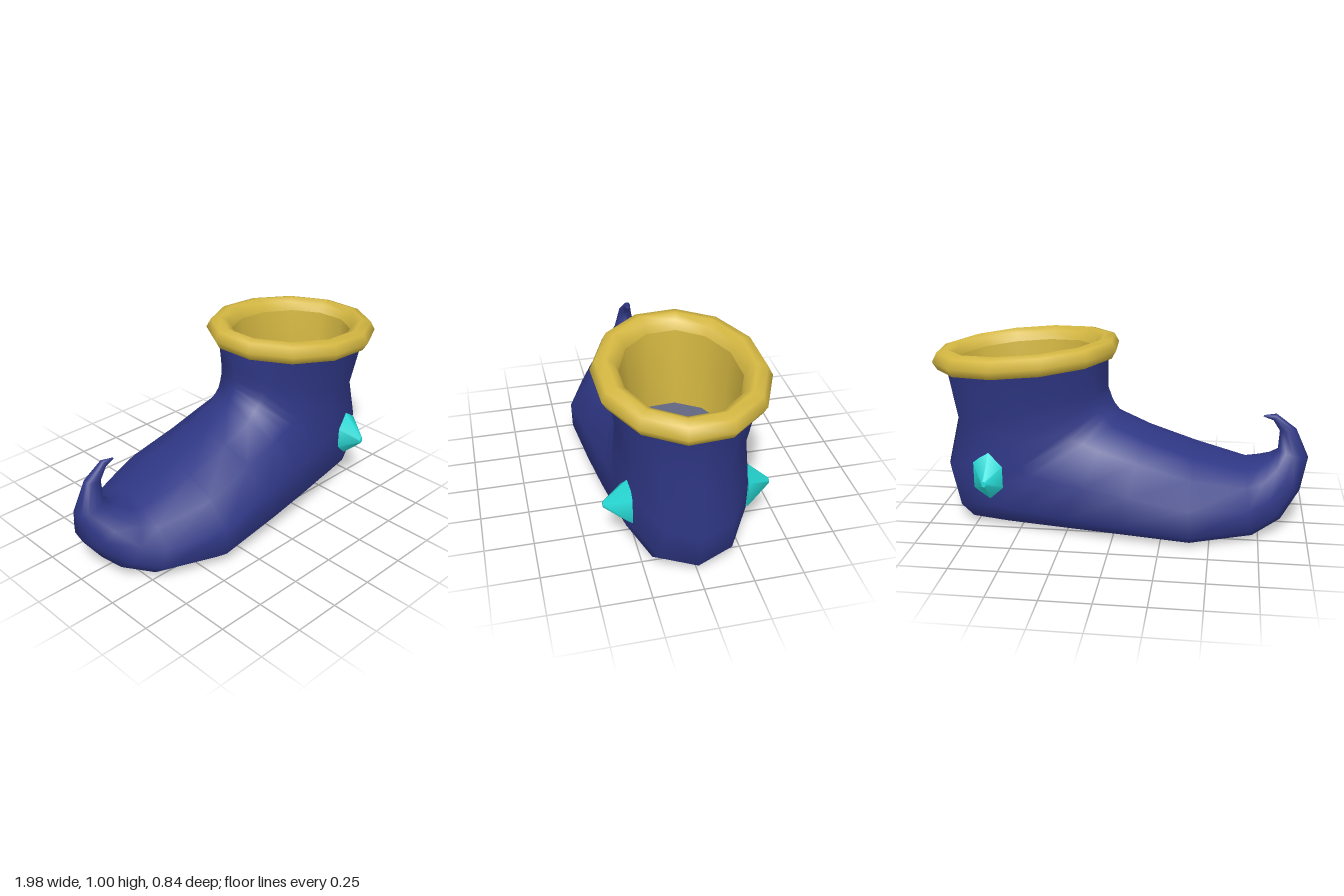
import * as THREE from 'three';

const mat = (name, color, side = THREE.FrontSide) => {
  const m = new THREE.MeshStandardMaterial({ color, side });
  m.name = name;
  return m;
};

// Joins equal-sized closed rings of [x, y, z] points into a smooth skin
function loft(rings) {
  const n = rings[0].length, index = [];
  for (let i = 0; i < rings.length - 1; i++) {
    for (let j = 0; j < n; j++) {
      const a = i * n + j, b = i * n + (j + 1) % n;
      index.push(a, b, a + n, b, b + n, a + n);
    }
  }
  const g = new THREE.BufferGeometry();
  g.setAttribute('position', new THREE.Float32BufferAttribute(rings.flat(2), 3));
  g.setIndex(index);
  g.computeVertexNormals();
  return g;
}

// Boot sections from curled tip to ankle:
// upper x, y, sole-side x, y, half width, roundness (0 flat-soled, 1 oval)
const SECTIONS = [
  [-0.755, 0.605, -0.76, 0.612, 0.004, 1],
  [-0.81, 0.585, -0.825, 0.622, 0.02, 1],
  [-0.845, 0.53, -0.93, 0.545, 0.035, 1],
  [-0.84, 0.43, -1.0, 0.39, 0.06, 1],
  [-0.79, 0.395, -0.97, 0.22, 0.15, 0.9],
  [-0.735, 0.375, -0.87, 0.08, 0.24, 0.6],
  [-0.67, 0.36, -0.72, 0.02, 0.31, 0.2],
  [-0.4, 0.43, -0.4, 0.01, 0.42, 0],
  [-0.16, 0.52, 0.0, 0.02, 0.395, 0.1],
  [0.0, 0.6, 0.3, 0.015, 0.375, 0.3],
  [0.025, 0.65, 0.6, 0.01, 0.35, 0.5],
  [0.04, 0.68, 0.81, 0.01, 0.335, 0.7],
  [0.05, 0.71, 0.89, 0.06, 0.33, 0.85],
  [0.06, 0.74, 0.95, 0.27, 0.325, 1],
  [0.06, 0.8, 0.885, 0.54, 0.32, 1],
  [0.06, 0.93, 0.94, 0.88, 0.37, 1],
];
// Position down the section and relative width, top to sole
const FLAT = [[0, 0], [0.05, 0.35], [0.2, 0.72], [0.5, 1], [0.84, 0.99], [0.97, 0.83], [1, 0]];

function sectionRing([ax, ay, bx, by, w, round]) {
  const half = FLAT.map(([t, f], i) => {
    const a = Math.PI * i / (FLAT.length - 1);
    return [
      THREE.MathUtils.lerp(t, (1 - Math.cos(a)) / 2, round),
      THREE.MathUtils.lerp(f, Math.sin(a), round),
    ];
  });
  const at = ([t, f], s) => [ax + (bx - ax) * t, ay + (by - ay) * t, s * w * f];
  return [
    ...half.map((p) => at(p, 1)),
    ...half.slice(1, -1).reverse().map((p) => at(p, -1)),
  ];
}

// Oval ring of the tilted opening, inset from the cuff's outer edge
const CX = 0.495, SIDES = 12;
function cuffRing([inset, h, tilt = -0.085]) {
  return Array.from({ length: SIDES }, (_, i) => {
    const a = (i + 0.4) / SIDES * Math.PI * 2;
    const x = Math.cos(a) * (0.5 - inset), z = Math.sin(a) * (0.425 - inset);
    return [CX + x, h + tilt * x, z];
  });
}

export function createModel() {
  const blue = mat('boot blue', 0x2f3785);
  const gold = mat('cuff gold', 0xd4b742, THREE.DoubleSide);
  const teal = mat('gem teal', 0x27dcd8);
  const grey = mat('insole grey', 0x62667f, THREE.DoubleSide);

  const group = new THREE.Group();
  const add = (name, geometry, material) => {
    const mesh = new THREE.Mesh(geometry, material);
    mesh.name = name;
    group.add(mesh);
    return mesh;
  };

  // Boot with curled toe
  add('boot', loft(SECTIONS.map(sectionRing)), blue);

  // Rolled cuff, running inward from its underside over the top
  const cuffProfile = [
    [0.09, 0.865], [0.025, 0.872], [0, 0.915], [0.025, 0.962],
    [0.075, 0.975], [0.115, 0.955], [0.135, 0.91],
  ];
  const flip = (rings) => rings.map((r) => r.slice().reverse());
  add('cuff', loft(flip(cuffProfile.map(cuffRing))), gold);

  // Lining inside the opening
  const lining = [[0.135, 0.91], [0.15, 0.75, -0.04], [0.16, 0.52, 0]];
  add('lining', loft(flip(lining.map(cuffRing))), gold);

  // Insole at the bottom of the lining
  const floor = new THREE.Shape(cuffRing([0.16, 0, 0]).map(([x, , z]) => new THREE.Vector2(x, -z)));
  const insole = add('insole', new THREE.ShapeGeometry(floor), grey);
  insole.rotation.x = -Math.PI / 2;
  insole.position.y = 0.525;

  // Faceted gem on each side of the heel
  for (const s of [1, -1]) {
    const gem = add(s > 0 ? 'leftGem' : 'rightGem', new THREE.CylinderGeometry(0.012, 0.1, 0.13, 6), teal);
    gem.rotation.x = s * Math.PI / 2;
    gem.scale.set(1, 1, 1.37);
    gem.position.set(0.645, 0.318, s * 0.352);
  }
  return group;
}
